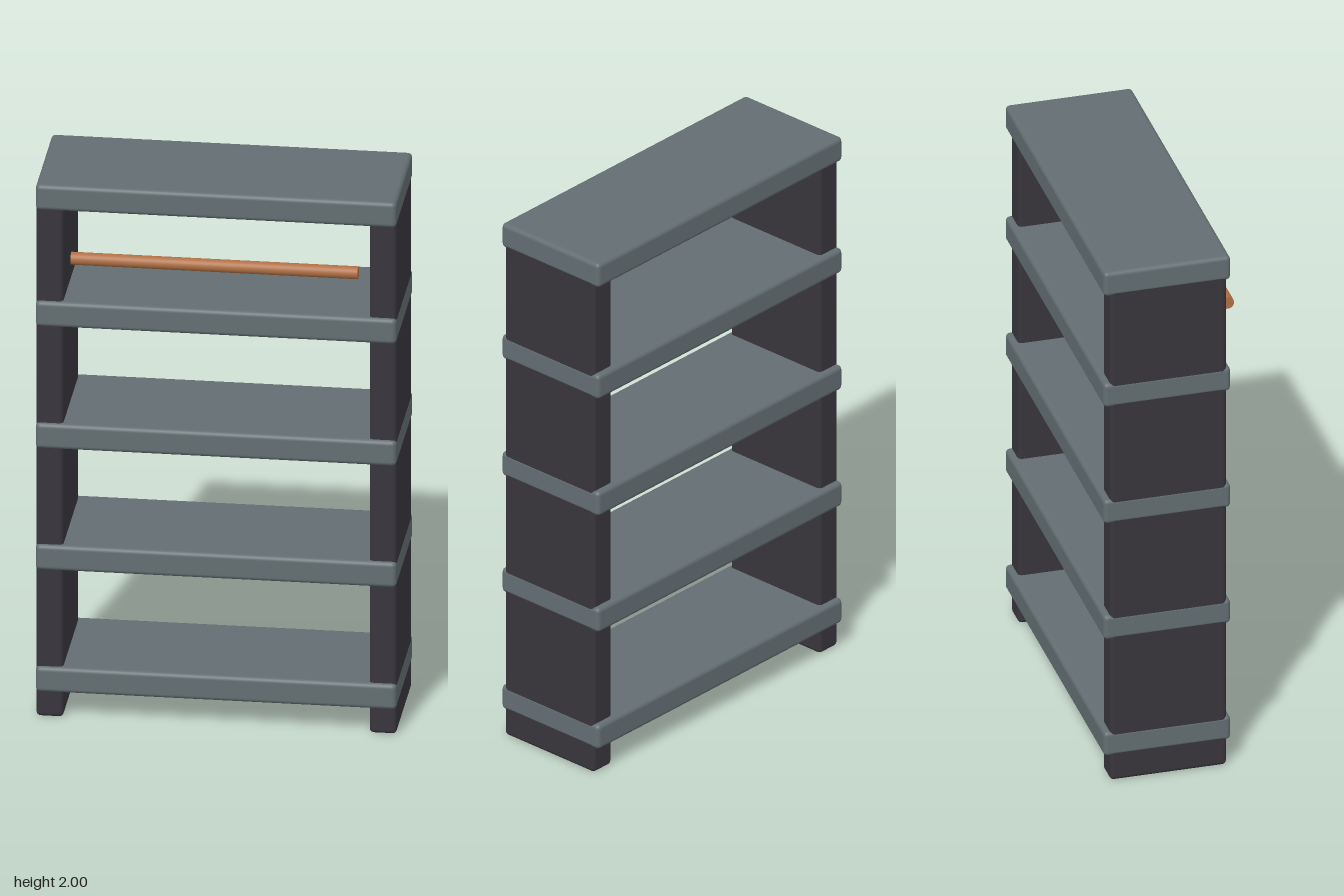
import * as THREE from 'three';
import { RoundedBoxGeometry } from 'three/addons/geometries/RoundedBoxGeometry.js';

const material = (name, color) => {
  const m = new THREE.MeshStandardMaterial({ color });
  m.name = name;
  return m;
};

export function createModel() {
  const slate = material('slate grey', 0x636e72);
  const charcoal = material('charcoal', 0x38363c);
  const copper = material('copper', 0xb07044);

  const group = new THREE.Group();
  group.name = 'shelfUnit';

  const add = (name, geometry, mat, x, y, z) => {
    const mesh = new THREE.Mesh(geometry, mat);
    mesh.name = name;
    mesh.position.set(x, y, z);
    group.add(mesh);
    return mesh;
  };

  // Upright side panels, their tops hidden inside the top shelf
  const panelHeight = 1.97;
  const panel = new RoundedBoxGeometry(0.094, panelHeight, 0.417, 3, 0.015);
  for (const [name, side] of [['leftPanel', 1], ['rightPanel', -1]]) {
    add(name, panel, charcoal, side * 0.578, panelHeight / 2, -0.02);
  }

  // Five shelves, a hair wider than the panels
  const shelf = new RoundedBoxGeometry(1.252, 0.094, 0.454, 3, 0.016);
  [0.144, 0.602, 1.058, 1.516, 1.953].forEach((y, i) => {
    add(`shelf${i + 1}`, shelf, slate, 0, y, -0.024);
  });

  // Round rail in front of the top compartment
  const rail = add('rail', new THREE.CylinderGeometry(0.0225, 0.0225, 0.996, 24), copper, 0, 1.745, 0.228);
  rail.rotation.z = Math.PI / 2;

  return group;
}
